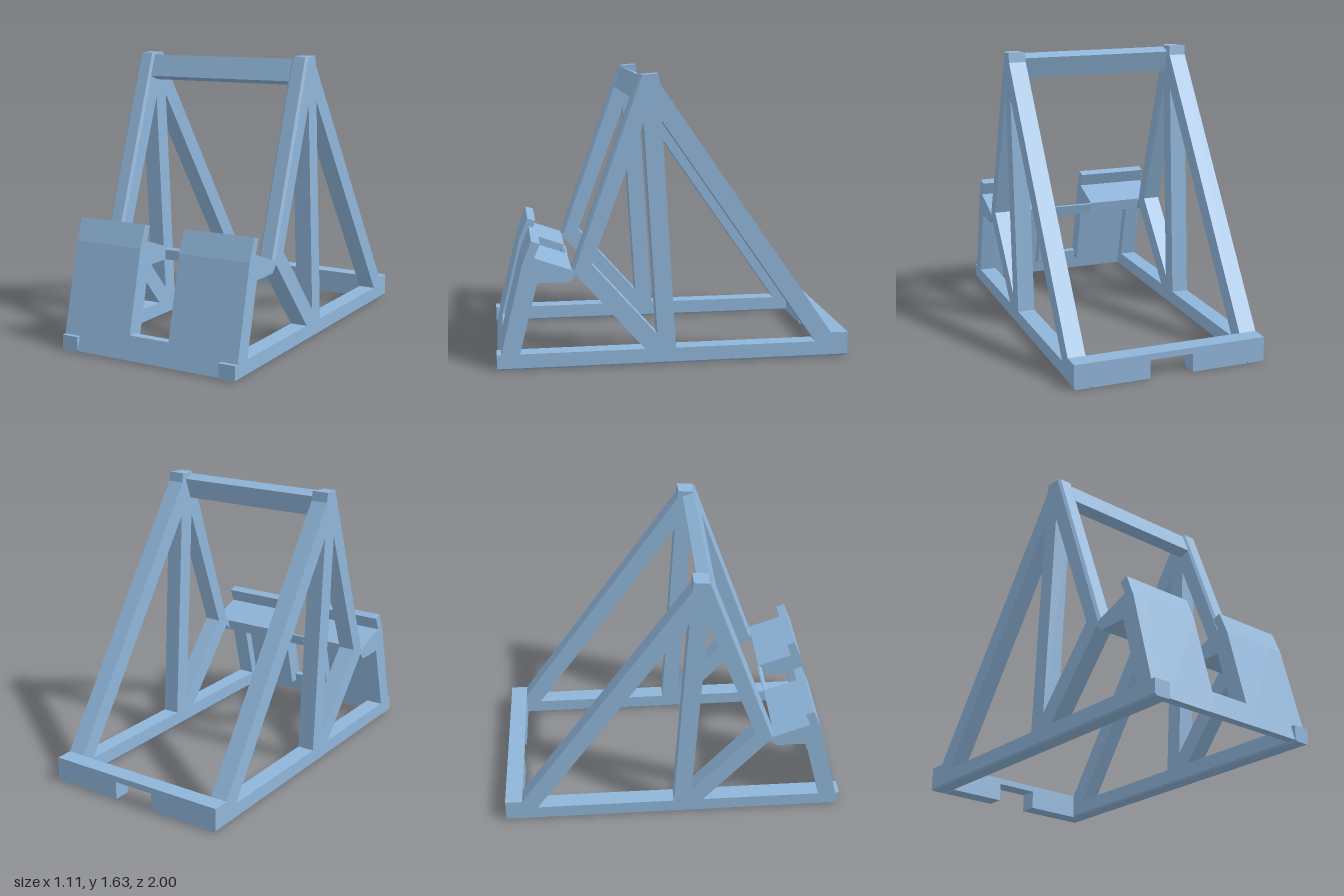
import * as THREE from 'three';

const HALF = 0.555;   // outer half width
const INNER = 0.455;  // inside face of the side frames
const SLOT = 0.125;   // half width of the front slot

export function createModel() {
  const model = new THREE.Group();
  const blue = new THREE.MeshStandardMaterial({ color: 0x8fb5d9 });
  blue.name = 'steel blue';

  const add = (name, geometry) => {
    const mesh = new THREE.Mesh(geometry, blue);
    mesh.name = name;
    model.add(mesh);
    return mesh;
  };

  // Side profile given as [z, y] points, extruded from x0 to x1
  const profile = (name, points, x0, x1, holes = []) => {
    const flat = (list) => list.map(([z, y]) => new THREE.Vector2(-z, y));
    const shape = new THREE.Shape(flat(points));
    shape.holes = holes.map((h) => new THREE.Path(flat(h)));
    const g = new THREE.ExtrudeGeometry(shape, { depth: x1 - x0, bevelEnabled: false });
    g.rotateY(Math.PI / 2).translate(x0, 0, 0);
    return add(name, g);
  };

  // Chamfered facing strip whose outer face runs from a to b, both [z, y]
  const strip = (name, x, a, b, t) => {
    const dz = b[0] - a[0], dy = b[1] - a[1];
    const w = (HALF - INNER) / 2;
    const shape = new THREE.Shape([[-w, -t], [w, -t], [w - t, 0], [t - w, 0]]
      .map(([u, v]) => new THREE.Vector2(u, v)));
    const g = new THREE.ExtrudeGeometry(shape, { depth: Math.hypot(dz, dy), bevelEnabled: false });
    g.rotateX(Math.atan2(-dy, dz)).translate(x, a[1], a[0]);
    add(name, g);
  };

  // Truss side with three openings
  const frame = [
    [1, 0.01], [1, 0.09], [0.975, 0.09], [0.85, 0.6], [0.8, 0.725], [0.752, 0.708],
    [0.785, 0.63], [0.58, 0.557], [0.567, 0.55], [0.187, 1.62], [0.1, 1.627],
    [0.092, 1.572], [-0.9, 0.14], [-1, 0.14], [-1, 0.01],
  ];
  const openings = [
    [[0, 0.09], [-0.81, 0.09], [0.08, 1.37]],
    [[0.105, 0.17], [0.18, 1.36], [0.47, 0.585]],
    [[0.872, 0.09], [0.175, 0.09], [0.558, 0.53], [0.595, 0.49], [0.77, 0.49]],
  ];

  // Front panel with a folded lip, the ribs beside its slot, and the shelf
  const panel = [
    [0.995, 0.008], [0.85, 0.6], [0.8, 0.725], [0.752, 0.708],
    [0.785, 0.63], [0.82, 0.52], [0.945, 0.008],
  ];
  const rib = [[0.96, 0.09], [0.86, 0.5], [0.77, 0.5], [0.872, 0.09]];
  const shelf = [[0.82, 0.61], [0.785, 0.63], [0.58, 0.557], [0.595, 0.49], [0.85, 0.49]];

  for (const [side, s] of [['left', 1], ['right', -1]]) {
    const span = (a, b) => (s > 0 ? [a, b] : [-b, -a]);
    const mid = s * (HALF + INNER) / 2;
    profile(side + 'Frame', frame, ...span(INNER, HALF), openings);
    strip(side + 'FrontPostFace', mid, [0.2, 1.625], [0.58, 0.557], 0.014);
    strip(side + 'RailSole', mid, [1, 0], [-1, 0], 0.01);
    profile(side + 'Panel', panel, ...span(SLOT, INNER));
    profile(side + 'Shelf', shelf, ...span(SLOT, INNER));
    profile(side + 'PanelRib', rib, ...span(SLOT, SLOT + 0.03));
    // Lower half of the rear beam, leaving a gap in the middle
    profile(side + 'RearBlock', [[-0.9, 0], [-0.9, 0.11], [-1, 0.11], [-1, 0]], ...span(SLOT, INNER));
  }

  // Pieces that bridge the slot
  profile('panelSill', [[0.995, 0.008], [0.963, 0.14], [0.913, 0.14], [0.945, 0.008]], -SLOT, SLOT);
  profile('shelfBridge', [[0.602, 0.49], [0.602, 0.545], [0.585, 0.557], [0.575, 0.553], [0.595, 0.49]], -SLOT, SLOT);

  // Cross members
  profile('rearBeam', [[-0.9, 0.105], [-0.9, 0.14], [-1, 0.14], [-1, 0.105]], -INNER, INNER);
  profile('topBar', [[0.192, 1.613], [0.237, 1.49], [0.171, 1.466], [0.126, 1.589]], -INNER, INNER);

  return model;
}
